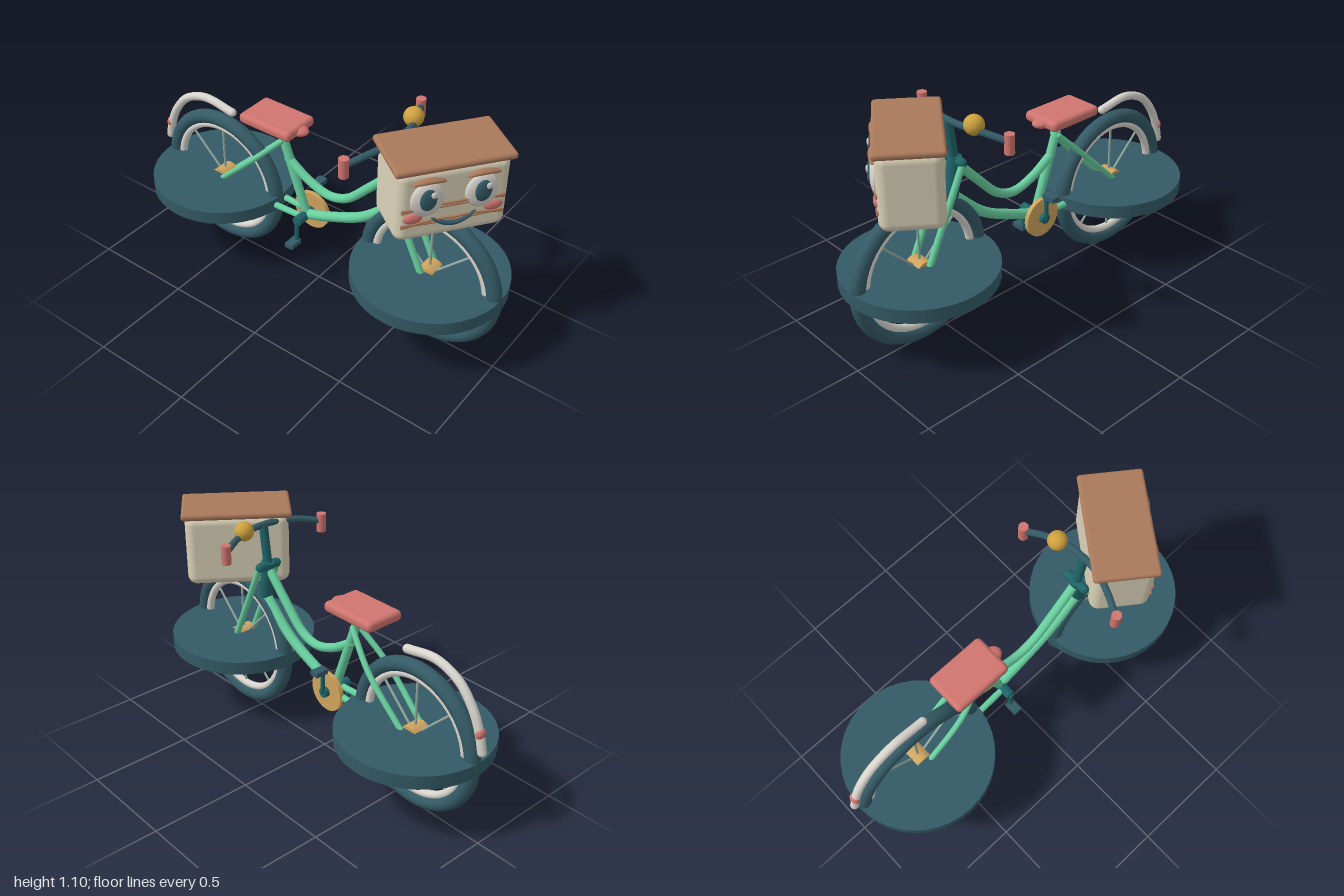
import * as THREE from 'three';
import { RoundedBoxGeometry } from 'three/addons/geometries/RoundedBoxGeometry.js';

const material = (name, color) => {
  const m = new THREE.MeshStandardMaterial({ color });
  m.name = name;
  return m;
};
const V = (x, y, z) => new THREE.Vector3(x, y, z);

export function createModel() {
  const mint = material('mint', 0x68cf9f);
  const slate = material('slate', 0x345a66);
  const teal = material('teal', 0x1f6468);
  const cream = material('cream', 0xdbd2b8);
  const brown = material('brown', 0xa9785a);
  const pink = material('pink', 0xd0756f);
  const gold = material('gold', 0xcfa45e);
  const brass = material('brass', 0xcfa23e);
  const pale = material('pale grey', 0xd9d5ce);
  const steel = material('spoke grey', 0x93aaa2);

  const model = new THREE.Group();
  model.name = 'bicycle';

  const add = (name, geometry, mat, pos = [0, 0, 0], parent = model) => {
    const mesh = new THREE.Mesh(geometry, mat);
    mesh.name = name;
    mesh.position.set(...pos);
    parent.add(mesh);
    return mesh;
  };
  // Round rod between two points
  const rod = (name, a, b, r, mat, parent = model, r2 = r) => {
    const d = b.clone().sub(a);
    const mesh = add(name, new THREE.CylinderGeometry(r2, r, d.length(), 16), mat, [0, 0, 0], parent);
    mesh.position.copy(a).add(b).multiplyScalar(0.5);
    mesh.quaternion.setFromUnitVectors(V(0, 1, 0), d.normalize());
    return mesh;
  };
  const ball = (name, r, mat, pos, parent = model) =>
    add(name, new THREE.SphereGeometry(1, 24, 16).scale(...r), mat, pos, parent);
  // Smooth tube with rounded ends
  const pipe = (name, points, r, mat, parent = model) => {
    const g = new THREE.Group();
    g.name = name;
    parent.add(g);
    const curve = new THREE.CatmullRomCurve3(points);
    add(name + 'Tube', new THREE.TubeGeometry(curve, 40, r, 12), mat, [0, 0, 0], g);
    for (const p of [points[0], points[points.length - 1]]) {
      add(name + 'End', new THREE.SphereGeometry(r, 12, 8), mat, p.toArray(), g);
    }
    return g;
  };
  // Ellipsoid bent into an arch
  const arch = (name, r, bend, mat, pos, parent) => {
    const geo = new THREE.SphereGeometry(1, 32, 16).rotateZ(Math.PI / 2).scale(...r);
    const p = geo.attributes.position;
    for (let i = 0; i < p.count; i++) p.setY(i, p.getY(i) + bend * p.getX(i) ** 2);
    geo.computeVertexNormals();
    return add(name, geo, mat, pos, parent);
  };

  // Wheels, each with a flat disc lying across the hub
  const hubY = 0.37;
  for (const [name, z] of [['frontWheel', 0.63], ['rearWheel', -0.6]]) {
    const wheel = new THREE.Group();
    wheel.name = name;
    wheel.position.set(0, hubY, z);
    model.add(wheel);
    add('tyre', new THREE.TorusGeometry(0.334, 0.036, 16, 64).rotateY(Math.PI / 2), slate, [0, 0, 0], wheel);
    add('rim', new THREE.TorusGeometry(0.293, 0.02, 12, 64).rotateY(Math.PI / 2), pale, [0, 0, 0], wheel);
    add('hub', new THREE.CylinderGeometry(0.055, 0.055, 0.09, 24).rotateZ(Math.PI / 2), gold, [0, 0, 0], wheel);
    add('flatDisc', new THREE.CylinderGeometry(0.365, 0.365, 0.067, 40), slate, [0, 0.005, 0], wheel);
    for (let i = 0; i < 8; i++) {
      const a = (i * Math.PI) / 4;
      rod('spoke', V(0, 0, 0), V(0, Math.sin(a) * 0.29, Math.cos(a) * 0.29), 0.006, steel, wheel);
    }
  }

  // Frame
  const bracket = V(0, 0.37, -0.075);
  pipe('topTube', [V(0, 0.83, 0.41), V(0, 0.69, 0.28), V(0, 0.575, 0.16), V(0, 0.545, 0.06),
    V(0, 0.58, -0.06), V(0, 0.655, -0.18)], 0.022, mint);
  pipe('downTube', [V(0, 0.67, 0.43), V(0, 0.51, 0.25), V(0, 0.415, 0.05), bracket], 0.025, mint);
  rod('seatTube', bracket, V(0, 0.77, -0.215), 0.022, mint);
  rod('seatPost', V(0, 0.74, -0.205), V(0, 0.84, -0.235), 0.015, teal);
  rod('headTube', V(0, 0.67, 0.435), V(0, 0.86, 0.41), 0.033, teal);
  rod('stem', V(0, 0.84, 0.412), V(0, 1.04, 0.44), 0.022, teal);
  pipe('forkCrown', [V(-0.05, 0.84, 0.41), V(0, 0.845, 0.41), V(0.05, 0.84, 0.41)], 0.023, teal);
  rod('bottomBracket', V(-0.08, 0.37, -0.075), V(0.08, 0.37, -0.075), 0.025, teal);
  for (const s of [-1, 1]) {
    rod('forkBlade', V(s * 0.055, 0.84, 0.41), V(s * 0.055, hubY, 0.63), 0.016, mint);
    pipe('seatStay', [V(s * 0.02, 0.75, -0.21), V(s * 0.06, 0.6, -0.36), V(s * 0.058, hubY, -0.6)], 0.014, mint);
    rod('chainStay', V(s * 0.03, 0.37, -0.075), V(s * 0.055, hubY, -0.6), 0.016, mint);
    // Cranks and pedals point opposite ways
    rod('crank', V(s * 0.08, 0.37, -0.075), V(s * 0.08, 0.37 + s * 0.125, -0.075), 0.011, teal);
    add('pedal', new THREE.BoxGeometry(0.07, 0.024, 0.045), slate, [s * 0.105, 0.375 + s * 0.123, -0.08]);
  }
  add('chainring', new THREE.CylinderGeometry(0.1, 0.1, 0.022, 36).rotateZ(Math.PI / 2), gold, [0.046, 0.37, -0.075]);

  // Saddle
  add('saddle', new RoundedBoxGeometry(0.205, 0.052, 0.3, 4, 0.022), pink, [0, 0.848, -0.25]);
  ball('saddleNose', [0.045, 0.026, 0.07], pink, [0, 0.842, -0.135]);

  // Handlebar, grips and bell
  pipe('handlebar', [V(-0.29, 1.01, 0.35), V(-0.2, 1.03, 0.395), V(-0.08, 1.04, 0.435), V(0.08, 1.04, 0.435),
    V(0.2, 1.03, 0.395), V(0.29, 1.01, 0.35)], 0.016, slate);
  for (const s of [-1, 1]) {
    add('grip', new THREE.CylinderGeometry(0.023, 0.023, 0.092, 20), pink, [s * 0.29, 1.003, 0.35]);
  }
  ball('bell', [0.046, 0.046, 0.046], brass, [0.137, 1.055, 0.41]);

  // Rear mudguard and lamp
  pipe('mudguard', [V(0, 0.775, -0.53), V(0, 0.795, -0.7), V(0, 0.745, -0.83), V(0, 0.645, -0.915),
    V(0, 0.54, -0.96), V(0, 0.47, -0.977)], 0.021, pale);
  ball('tailLamp', [0.027, 0.026, 0.019], pink, [0, 0.555, -0.962]);

  // Basket turned to one side, with lid and face
  const basket = new THREE.Group();
  basket.name = 'basket';
  basket.position.set(0, 0, 0.65);
  basket.rotation.y = -0.635;
  model.add(basket);
  add('basketBody', new RoundedBoxGeometry(0.5, 0.36, 0.28, 5, 0.045), cream, [0, 0.895, 0], basket);
  add('lid', new RoundedBoxGeometry(0.53, 0.033, 0.3, 4, 0.015), brown, [0, 1.076, 0], basket);
  const faceZ = 0.14;
  for (const s of [-1, 1]) {
    ball('eye', [0.075, 0.086, 0.025], pale, [s * 0.12, 0.932, faceZ], basket);
    ball('pupil', [0.038, 0.053, 0.015], slate, [s * 0.12 - 0.002, 0.94, faceZ + 0.019], basket);
    ball('eyeGlint', [0.014, 0.016, 0.006], pale, [s * 0.12 + 0.018, 0.968, faceZ + 0.03], basket);
    arch('eyebrow', [0.077, 0.013, 0.018], -2.2, brown, [s * 0.12, 1.028, faceZ + 0.006], basket);
    ball('cheek', [0.043, 0.026, 0.015], pink, [s * 0.178, 0.843, faceZ], basket);
  }
  arch('mouth', [0.1, 0.014, 0.016], 4, slate, [0, 0.795, faceZ + 0.006], basket);
  // Woven bands across the front
  for (const y of [0.88, 0.803]) {
    for (const [ends, mid] of [[-0.002, 0.018], [0.008, 0.006]]) {
      pipe('wovenBand', [V(-0.225, y + ends, faceZ), V(-0.1, y + mid, faceZ + 0.004), V(0, y + mid, faceZ + 0.006),
        V(0.1, y + mid, faceZ + 0.004), V(0.225, y + ends, faceZ)], 0.006, brown, basket);
    }
  }
  return model;
}
